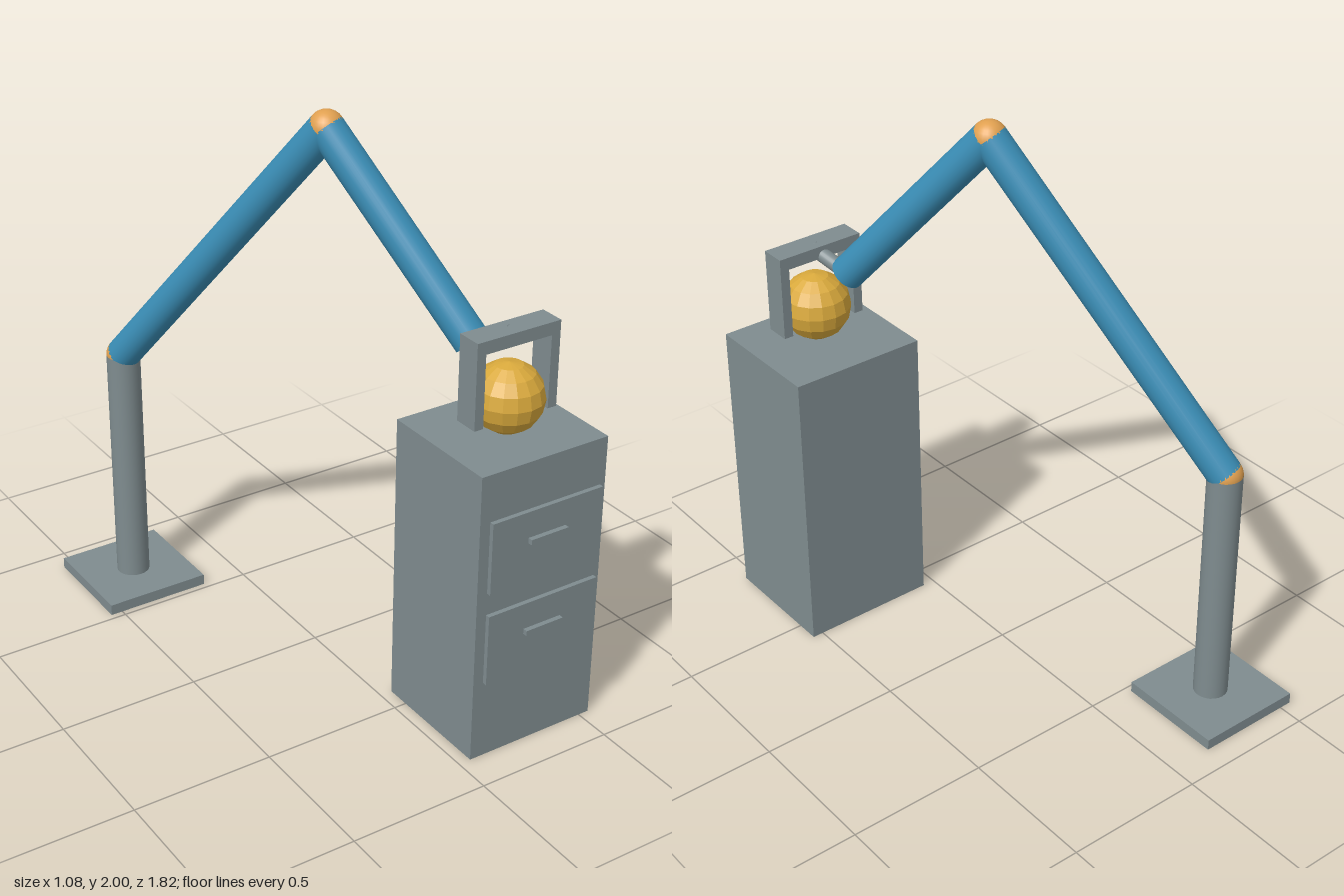
import * as THREE from 'three';

const mat = (name, color, flatShading = false) => {
  const m = new THREE.MeshStandardMaterial({ color, flatShading });
  m.name = name;
  return m;
};

export function createModel() {
  const model = new THREE.Group();
  model.name = 'robotArmAndCabinet';
  const grey = mat('steelGrey', 0x7f8c8f);
  const blue = mat('armBlue', 0x3a8db5);
  const orange = mat('jointOrange', 0xe0a050);
  const gold = mat('ballGold', 0xd9a93c, true);

  const add = (name, geometry, material, x, y, z) => {
    const mesh = new THREE.Mesh(geometry, material);
    mesh.name = name;
    mesh.position.set(x, y, z);
    model.add(mesh);
    return mesh;
  };
  const box = (name, w, h, d, x, y, z) =>
    add(name, new THREE.BoxGeometry(w, h, d), grey, x, y, z);

  // Cylinder running from point a to point b
  const rod = (name, a, b, radius, material) => {
    const dir = b.clone().sub(a);
    const mid = a.clone().add(b).multiplyScalar(0.5);
    const mesh = add(name, new THREE.CylinderGeometry(radius, radius, dir.length(), 24),
      material, mid.x, mid.y, mid.z);
    mesh.quaternion.setFromUnitVectors(new THREE.Vector3(0, 1, 0), dir.normalize());
  };

  const foot = new THREE.Vector3(-0.35, 0.03, -0.715);
  const shoulder = new THREE.Vector3(-0.35, 0.93, -0.715);
  const elbow = new THREE.Vector3(0.005, 1.94, 0.058);
  const wrist = new THREE.Vector3(0.237, 1.335, 0.542);
  const hand = new THREE.Vector3(0.292, 1.4, 0.663);

  // Base plate and post
  box('basePlate', 0.387, 0.04, 0.387, -0.35, 0.02, -0.717);
  rod('post', foot, shoulder, 0.06, grey);

  // Arm links and joints
  rod('upperArm', shoulder, elbow, 0.06, blue);
  rod('forearm', elbow, wrist, 0.06, blue);
  rod('wristRod', wrist, hand, 0.026, grey);
  for (const [name, p] of [['shoulderJoint', shoulder], ['elbowJoint', elbow]]) {
    add(name, new THREE.SphereGeometry(0.06, 24, 16), orange, p.x, p.y, p.z);
  }

  // Gripper
  box('gripperBar', 0.323, 0.045, 0.09, 0.292, 1.399, 0.663);
  for (const side of [-1, 1]) {
    box('gripperFinger', 0.034, 0.28, 0.09, 0.292 + side * 0.1445, 1.26, 0.663);
  }

  // Held ball
  add('ball', new THREE.SphereGeometry(0.122, 16, 8), gold, 0.292, 1.18, 0.663);

  // Cabinet with two drawers
  box('cabinet', 0.495, 1.058, 0.452, 0.292, 0.529, 0.641);
  for (const y of [0.768, 0.429]) {
    box('drawerFront', 0.435, 0.259, 0.016, 0.292, y, 0.886);
    box('drawerHandle', 0.147, 0.019, 0.018, 0.29, y + 0.026, 0.902);
  }

  return model;
}
